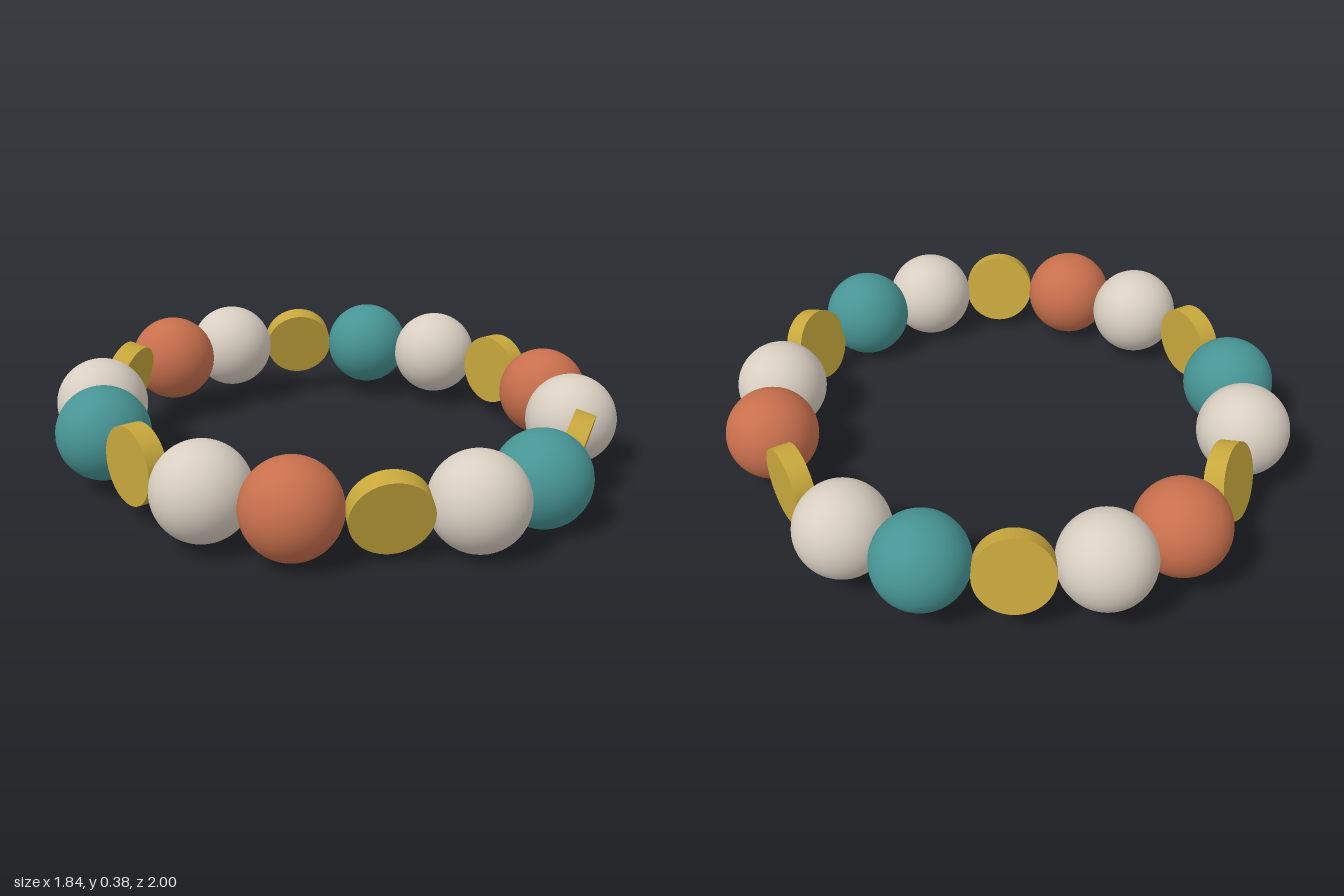
import * as THREE from 'three';

export function createModel() {
  const group = new THREE.Group();
  group.name = 'beadBracelet';

  const mat = (name, color) => {
    const m = new THREE.MeshStandardMaterial({ color });
    m.name = name;
    return m;
  };
  const gold = mat('gold', 0xc7a73c);
  const terracotta = mat('terracotta', 0xc76f4c);
  const cream = mat('cream', 0xd8cec1);
  const teal = mat('teal', 0x479494);

  const beadGeo = new THREE.SphereGeometry(0.159, 48, 32);
  // Flat spacer disc with its axis laid along x
  const discGeo = new THREE.CylinderGeometry(0.13, 0.13, 0.069, 48).rotateZ(-Math.PI / 2);

  // Repeating order of the pieces around the ring; gold marks a spacer
  const pattern = [gold, terracotta, cream, gold, teal, cream];
  const count = 18, radiusX = 0.812, radiusZ = 0.854;

  for (let i = 0; i < count; i++) {
    const a = (i / count) * Math.PI * 2;
    const material = pattern[i % pattern.length];
    const isDisc = material === gold;
    const piece = new THREE.Mesh(isDisc ? discGeo : beadGeo, material);
    piece.name = (isDisc ? 'spacerDisc' : 'roundBead') + (i + 1);
    const z = Math.sin(a) * radiusZ;
    // The ring dips slightly towards the front
    piece.position.set(Math.cos(a) * radiusX, 0.194 - 0.038 * z, z);
    // Discs face outwards and lean towards the front
    if (isDisc) piece.rotation.set(0.3, -a, 0);
    group.add(piece);
  }
  return group;
}
